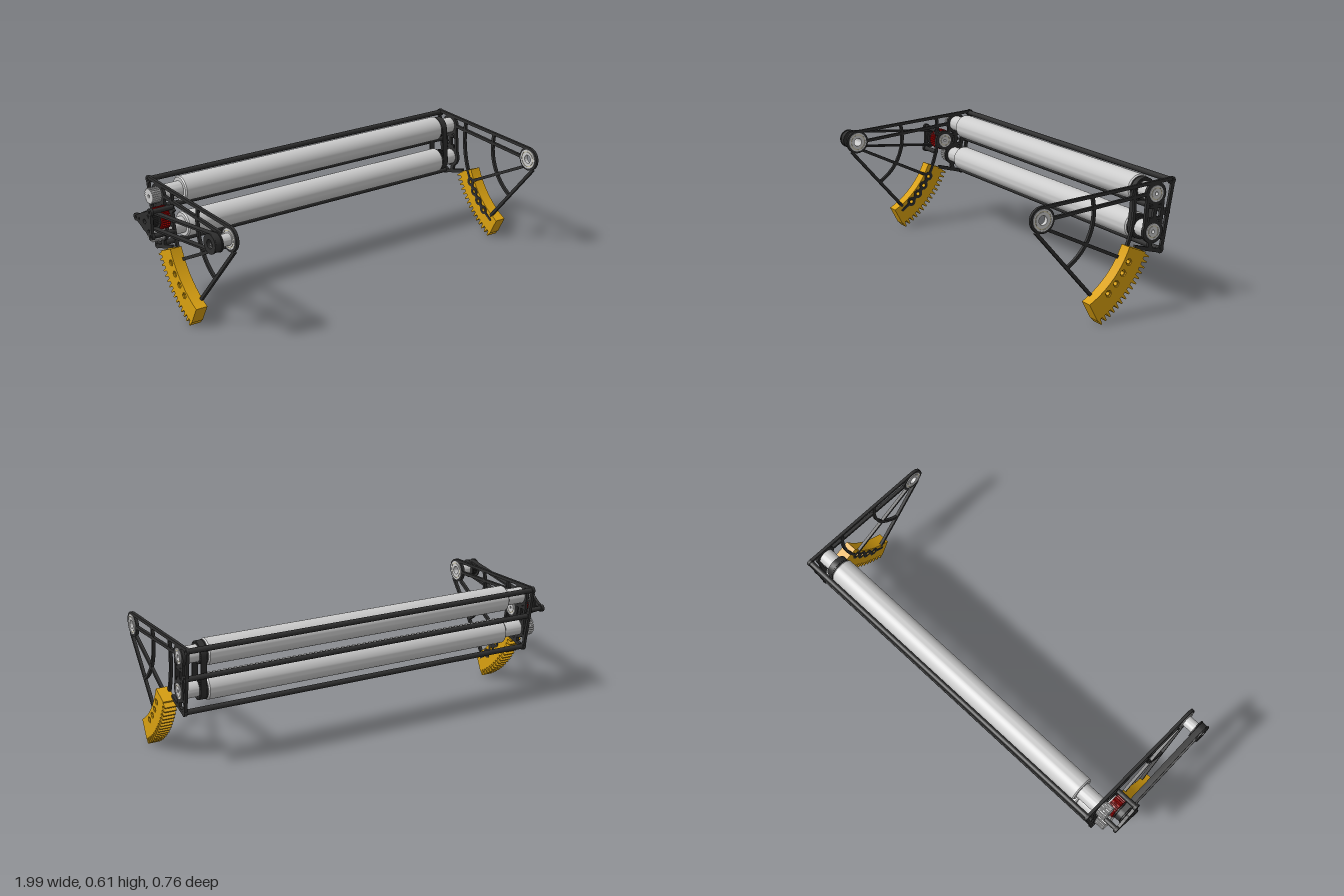
import * as THREE from 'three';
import { mergeGeometries, toCreasedNormals } from 'three/addons/utils/BufferGeometryUtils.js';

const CX = 0.035; // mid-plane between the two side plates
const mat = (color) => new THREE.MeshStandardMaterial({ color });
const dark = mat(0x2e2e2e), grey = mat(0xcccccc), yellow = mat(0xd9a010), red = mat(0xa80000), brass = mat(0xc9c2a4);
const V = (z, y) => new THREE.Vector2(z, y);
const PIVOT = V(0.32, 0.495), UPPER = V(-0.273, 0.535), LOWER = V(-0.259, 0.363), DRIVE = V(-0.2, 0.448);
const TIES = [V(-0.36, 0.584), V(-0.334, 0.444), V(-0.303, 0.274)];
const BOLTS = [-29.4, -36, -42.6, -49.3];

// Point at radius r and angle (degrees) about the pivot, measured from the rear direction
const polar = (r, deg) => {
  const a = THREE.MathUtils.degToRad(deg);
  return V(PIVOT.x - r * Math.cos(a), PIVOT.y + r * Math.sin(a));
};

// Side-profile shapes, drawn in (z, y)
const circle = (c, r, n = 32, turn = 0) => Array.from({ length: n }, (_, i) => {
  const a = turn + (i / n) * Math.PI * 2;
  return V(c.x + r * Math.cos(a), c.y + r * Math.sin(a));
});
const outline = (points, holes = []) => {
  const s = new THREE.Shape(points);
  s.holes = holes.map((h) => new THREE.Path(h));
  return s;
};
const ring = (c, ro, ri, n = 36) => outline(circle(c, ro, n), ri ? [circle(c, ri, n)] : []);
function bar(z0, y0, z1, y1, w = 0.015) {
  const a = V(z0, y0), b = V(z1, y1), d = b.clone().sub(a).setLength(w / 2), n = V(-d.y, d.x);
  return outline([a.clone().add(n), a.clone().sub(n), b.clone().sub(n), b.clone().add(n)]);
}
function arc(r0, r1, d0, d1, n = 16) {
  const pts = [];
  for (let i = 0; i <= n; i++) pts.push(polar(r0, d0 + ((d1 - d0) * i) / n));
  for (let i = n; i >= 0; i--) pts.push(polar(r1, d0 + ((d1 - d0) * i) / n));
  return outline(pts);
}
function loopPoints(a, b, r) {
  const t = Math.atan2(b.y - a.y, b.x - a.x), pts = [];
  for (const [c, s] of [[a, t + Math.PI / 2], [b, t - Math.PI / 2]])
    for (let i = 0; i <= 16; i++) {
      const q = s + (i / 16) * Math.PI;
      pts.push(V(c.x + r * Math.cos(q), c.y + r * Math.sin(q)));
    }
  return pts;
}
const belt = (a, b, r, t) => outline(loopPoints(a, b, r), [loopPoints(a, b, r - t)]);
function gear(c, root, tip, teeth, bore) {
  const pts = [];
  for (let i = 0; i < teeth; i++)
    for (const [f, r] of [[0, root], [0.3, root], [0.45, tip], [0.8, tip]]) {
      const a = ((i + f) / teeth) * Math.PI * 2;
      pts.push(V(c.x + r * Math.cos(a), c.y + r * Math.sin(a)));
    }
  return outline(pts, [circle(c, bore, 20)]);
}

// Extrude side profiles between two x positions and merge them
function slab(shapes, xa, xb) {
  const x1 = Math.max(xa, xb), depth = Math.abs(xb - xa);
  const geo = mergeGeometries([shapes].flat().map((s) =>
    new THREE.ExtrudeGeometry(s, { depth, bevelEnabled: false })));
  geo.rotateY(-Math.PI / 2).translate(x1, 0, 0);
  return toCreasedNormals(geo, 0.5);
}

// Openwork side plate
function plateShapes() {
  const shapes = [
    ring(PIVOT, 0.06, 0.045), ring(UPPER, 0.054, 0.034), ring(LOWER, 0.054, 0.034),
    bar(0.322, 0.548, -0.358, 0.592), bar(0.27, 0.495, -0.222, 0.536),
    bar(0.352, 0.443, 0.06, 0.113), bar(0.285, 0.445, -0.09, 0.266),
    bar(-0.368, 0.585, -0.31, 0.27), bar(-0.165, 0.304, -0.305, 0.267, 0.018),
    bar(-0.231, 0.51, -0.22, 0.39, 0.016), bar(-0.312, 0.505, -0.302, 0.39, 0.016),
    bar(-0.24, 0.475, -0.3, 0.475, 0.014), bar(-0.24, 0.42, -0.3, 0.42, 0.014),
    bar(-0.275, 0.49, -0.265, 0.41, 0.018), bar(-0.305, 0.444, -0.322, 0.444, 0.02),
    bar(-0.245, 0.318, -0.25, 0.285, 0.02), bar(-0.305, 0.335, -0.32, 0.32, 0.016),
    arc(0.258, 0.272, 15, -60), arc(0.473, 0.487, 9, -28),
    arc(0.473, 0.487, BOLTS[3] - 1.5, -58),
  ];
  for (const t of TIES) shapes.push(ring(t, 0.018, 0.008, 20));
  BOLTS.forEach((d, i) => {
    shapes.push(ring(polar(0.48, d), 0.024, 0.01, 24));
    if (i) shapes.push(arc(0.47, 0.49, BOLTS[i - 1] - 1.4, d + 1.4, 4));
  });
  return shapes;
}

// Toothed sector centred on the pivot
function rackOutline() {
  const pts = [], d0 = -21.8, d1 = -61.8, teeth = 15, step = (d1 - d0) / teeth;
  for (let i = 0; i <= 24; i++) pts.push(polar(0.452, d1 + ((d0 - d1) * i) / 24));
  for (let i = 0; i < teeth; i++)
    for (const [f, r] of [[0, 0.546], [0.3, 0.546], [0.48, 0.572], [0.72, 0.572], [0.9, 0.546]])
      pts.push(polar(r, d0 + (i + f) * step));
  pts.push(polar(0.546, d1));
  return pts;
}

export function createModel() {
  const root = new THREE.Group();
  const add = (name, geo, material) => {
    const m = new THREE.Mesh(geo, material);
    m.name = name;
    root.add(m);
  };

  // Mirrored side plates, racks and bearings
  for (const s of [1, -1]) {
    const side = s > 0 ? 'left' : 'right', X = (o) => CX + s * o;
    add(side + 'SidePlate', slab(plateShapes(), X(0.8975), X(0.912)), dark);
    const holes = (r, n) => BOLTS.map((d) => circle(polar(0.48, d), r, n, 0.1));
    add(side + 'Rack', slab(outline(rackOutline(), holes(0.0095, 20)), X(0.9), X(0.953)), yellow);
    add(side + 'RackNutPockets', slab(outline(rackOutline(), holes(0.016, 6)), X(0.953), X(0.96)), yellow);
    add(side + 'PivotBearing', slab([ring(PIVOT, 0.049, 0.041), ring(PIVOT, 0.036, 0.021)], X(0.894), X(0.915)), grey);
    add(side + 'PivotBearingSeal', slab(ring(PIVOT, 0.041, 0.036), X(0.896), X(0.913)), brass);
    for (const c of [UPPER, LOWER]) {
      add(side + 'RollerBearing', slab([ring(c, 0.037, 0.029), ring(c, 0.024, 0.008)], X(0.89), X(0.915)), grey);
      add(side + 'RollerBearingSeal', slab(ring(c, 0.029, 0.024), X(0.892), X(0.913)), brass);
    }
  }

  // Rollers with rounded rims and end hubs
  for (const [name, c] of [['upper', UPPER], ['lower', LOWER]]) {
    const prof = [V(0, -0.76), V(0.056, -0.76), V(0.062, -0.754), V(0.062, 0.819), V(0.056, 0.825), V(0, 0.825)];
    const geo = toCreasedNormals(new THREE.LatheGeometry(prof, 48).rotateZ(-Math.PI / 2), 0.5);
    add(name + 'Roller', geo.translate(0, c.y, c.x), grey);
    add(name + 'RollerHubRight', slab(ring(c, 0.04, 0.008), -0.865, -0.755), grey);
    add(name + 'RollerHubLeft', slab(ring(c, 0.04, 0.008), 0.82, 0.93), grey);
    add(name + 'RollerPulley', slab(gear(c, 0.047, 0.051, 30, 0.01), 0.832, 0.862), dark);
    add(name + 'PulleyFlanges', slab(ring(c, 0.057, 0.01), 0.827, 0.832), dark);
  }
  add('rollerBelt', slab(belt(UPPER, LOWER, 0.056, 0.006), 0.833, 0.862), dark);

  // Hollow tie rods joining the plates
  for (const t of TIES) add('tieRod', slab(ring(t, 0.013, 0.008, 20), -0.87, 0.94), dark);

  // Drive side: pivot shaft, long belt and pulleys
  add('pivotShaft', slab(ring(PIVOT, 0.028, 0.021), -0.965, -0.87), grey);
  add('driveBelt', slab(belt(PIVOT, DRIVE, 0.044, 0.009), -0.97, -0.942), dark);
  for (const [name, c] of [['pivot', PIVOT], ['drive', DRIVE]]) {
    add(name + 'Pulley', slab(gear(c, 0.033, 0.036, 24, 0.021), -0.972, -0.94), dark);
    add(name + 'PulleyFlanges', slab(ring(c, 0.047, 0.021), -0.978, -0.972), dark);
    add(name + 'PulleyInnerFlange', slab(ring(c, 0.047, 0.021), -0.94, -0.934), dark);
  }

  // Drive gears and their bearing
  add('driveGear', slab(gear(DRIVE, 0.048, 0.054, 28, 0.012), -0.932, -0.886), red);
  add('driveBearingRing', slab([ring(DRIVE, 0.052, 0.036), bar(-0.16, 0.49, -0.15, 0.5, 0.03)], -0.877, -0.862), dark);
  add('driveBearing', slab([ring(DRIVE, 0.036, 0.028), outline(circle(DRIVE, 0.023),
    [circle(DRIVE, 0.008, 4, Math.PI / 4)])], -0.885, -0.858), grey);
  add('driveBearingSeal', slab(ring(DRIVE, 0.028, 0.023), -0.883, -0.86), brass);
  add('lowerGear', slab(gear(LOWER, 0.043, 0.049, 26, 0.008), -0.93, -0.88), grey);
  add('upperGear', slab(gear(UPPER, 0.034, 0.038, 22, 0.008), -0.925, -0.88), grey);

  // Outer support plate on three spacers
  const posts = [V(-0.155, 0.505), V(-0.15, 0.388), V(-0.28, 0.448)];
  const support = [ring(DRIVE, 0.045, 0.012)];
  posts.forEach((p, i) => {
    const q = posts[(i + 1) % 3];
    support.push(ring(p, 0.018, 0.007, 20), bar(p.x * 0.9 + q.x * 0.1, p.y * 0.9 + q.y * 0.1,
      p.x * 0.1 + q.x * 0.9, p.y * 0.1 + q.y * 0.9, 0.018));
    add('supportSpacer', slab(ring(p, 0.012, 0.007, 16), -0.98, -0.87), dark);
  });
  add('supportPlate', slab(support, -0.995, -0.98), dark);

  return root;
}
